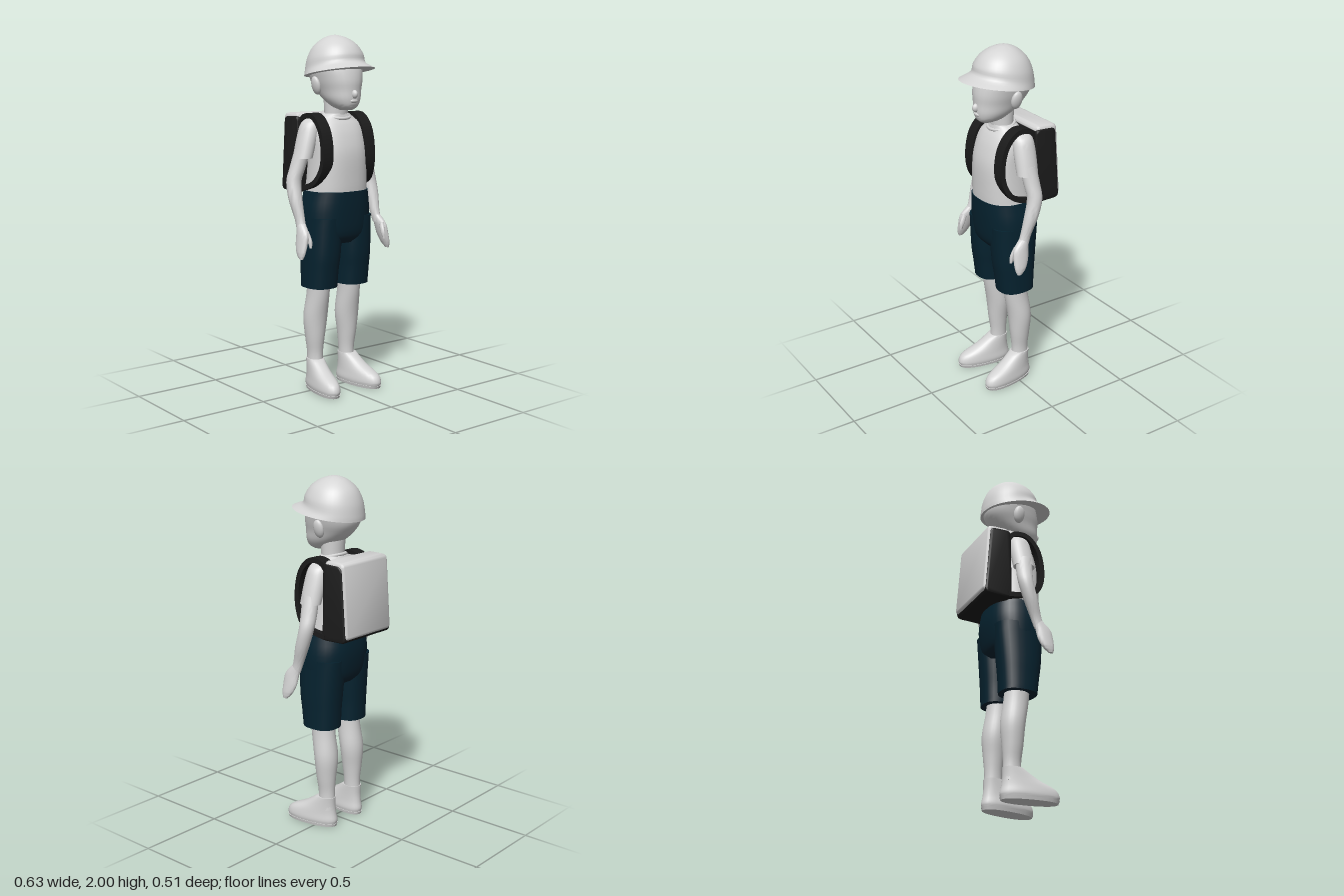
import * as THREE from 'three';
import { toCreasedNormals } from 'three/addons/utils/BufferGeometryUtils.js';

const light = new THREE.MeshStandardMaterial({ color: 0xd4d4d4 });
light.name = 'light grey';
const navy = new THREE.MeshStandardMaterial({ color: 0x05222f });
navy.name = 'dark navy';
const black = new THREE.MeshStandardMaterial({ color: 0x1b1b1b });
black.name = 'soft black';

// Skin a stack of equal rings of points and close both ends
function skin(rings, crease = 0.9) {
  const n = rings[0].length, pos = [], idx = [];
  rings.forEach(r => r.forEach(p => pos.push(p.x, p.y, p.z)));
  for (let i = 0; i < rings.length - 1; i++) {
    for (let j = 0; j < n; j++) {
      const k = (j + 1) % n, a = i * n + j, b = i * n + k;
      idx.push(a, a + n, b, b, a + n, b + n);
    }
  }
  [0, rings.length - 1].forEach((i, end) => {
    const c = pos.length / 3, mid = new THREE.Vector3();
    rings[i].forEach(p => mid.addScaledVector(p, 1 / n));
    pos.push(mid.x, mid.y, mid.z);
    for (let j = 0; j < n; j++) {
      const a = i * n + j, b = i * n + (j + 1) % n;
      end ? idx.push(c, b, a) : idx.push(c, a, b);
    }
  });
  const g = new THREE.BufferGeometry();
  g.setAttribute('position', new THREE.Float32BufferAttribute(pos, 3));
  g.setIndex(idx);
  return toCreasedNormals(g, crease);
}

// Smooth loft through sections [y, x, z, radiusX, radiusZ, frontLift]
function loft(sections, { side = 1, power = 2, seg = 28 } = {}) {
  const list = [...sections].sort((a, b) => a[0] - b[0]);
  const curve = f => new THREE.CatmullRomCurve3(list.map(f), false, 'catmullrom', 0.5);
  const mids = curve(s => new THREE.Vector3(s[1] * side, s[0], s[2]));
  const radii = curve(s => new THREE.Vector3(s[3], s[4], s[5] || 0));
  const steps = (list.length - 1) * 4, rings = [];
  const round = v => Math.sign(v) * Math.abs(v) ** (2 / power);
  for (let i = 0; i <= steps; i++) {
    const m = mids.getPoint(i / steps), r = radii.getPoint(i / steps), ring = [];
    for (let j = 0; j < seg; j++) {
      const a = j / seg * Math.PI * 2, c = round(Math.cos(a)), s = round(Math.sin(a));
      ring.push(new THREE.Vector3(m.x + r.x * c, m.y + r.z * s, m.z + r.y * s));
    }
    rings.push(ring);
  }
  return skin(rings);
}

// Flat band swept along a path of [x, y, z]
function band(points, side, halfWidth, halfThick) {
  const curve = new THREE.CatmullRomCurve3(points.map(p => new THREE.Vector3(p[0] * side, p[1], p[2])));
  const rings = [];
  for (let i = 0; i <= 36; i++) {
    const p = curve.getPoint(i / 36), t = curve.getTangent(i / 36);
    const n = new THREE.Vector3(0, -t.z, t.y).normalize();
    rings.push([[1, -1], [1, 1], [-1, 1], [-1, -1]].map(([w, h]) =>
      p.clone().addScaledVector(n, h * halfThick).add(new THREE.Vector3(w * halfWidth, 0, 0))));
  }
  return skin(rings, 0.7);
}

// Side profile of [distance behind, y], extruded across x with soft edges
function slab(points, halfWidth, bevel) {
  const shape = new THREE.Shape();
  const n = points.length, r = 0.03;
  points.forEach((p, i) => {
    const P = new THREE.Vector2(...p);
    const toward = q => P.clone().add(new THREE.Vector2(...q).sub(P).setLength(r));
    const a = toward(points[(i + n - 1) % n]), b = toward(points[(i + 1) % n]);
    i ? shape.lineTo(a.x, a.y) : shape.moveTo(a.x, a.y);
    shape.quadraticCurveTo(P.x, P.y, b.x, b.y);
  });
  const depth = 2 * (halfWidth - bevel);
  const g = new THREE.ExtrudeGeometry(shape, {
    depth, bevelEnabled: true, bevelSize: bevel, bevelOffset: -bevel,
    bevelThickness: bevel, bevelSegments: 4, curveSegments: 6 });
  g.translate(0, 0, -depth / 2).rotateY(Math.PI / 2);
  return toCreasedNormals(g, 0.7);
}

export function createModel() {
  const model = new THREE.Group();
  model.name = 'child with backpack';
  const add = (name, geometry, material, parent = model) => {
    const m = new THREE.Mesh(geometry, material);
    m.name = name;
    parent.add(m);
    return m;
  };
  const ball = (name, x, y, z, rx, ry, rz) => {
    const m = add(name, new THREE.SphereGeometry(1, 16, 12), light);
    m.position.set(x, y, z);
    m.scale.set(rx, ry, rz);
    return m;
  };

  // Head
  add('neck', loft([[1.5, 0, 0, 0.075, 0.065], [1.56, 0, 0.01, 0.068, 0.062], [1.66, 0, 0.01, 0.07, 0.07]]), light);
  add('head', loft([
    [1.592, 0, 0.1, 0.03, 0.04], [1.612, 0, 0.085, 0.065, 0.08], [1.65, 0, 0.06, 0.092, 0.115],
    [1.7, 0, 0.03, 0.108, 0.145], [1.76, 0, 0.01, 0.128, 0.164], [1.84, 0, 0, 0.14, 0.152],
    [1.92, 0, 0, 0.1, 0.1]], { power: 2.15 }), light);
  ball('nose', 0, 1.68, 0.172, 0.017, 0.024, 0.024).rotation.x = -0.3;
  ball('lips', 0, 1.643, 0.166, 0.028, 0.012, 0.014);

  // Cap with a brim that is longest at the front
  add('cap', loft([
    [1.797, 0, 0.041, 0.186, 0.212, 0.033], [1.826, 0, 0.004, 0.166, 0.174, 0.032],
    [1.88, 0, 0.002, 0.154, 0.162, 0.02], [1.935, 0, 0, 0.124, 0.132, 0.01],
    [1.975, 0, 0, 0.078, 0.084, 0.003], [1.994, 0, 0, 0.035, 0.038], [2, 0, 0, 0.004, 0.004]],
    { seg: 40 }), light);

  // Shirt
  add('shirt', loft([
    [1.135, 0, 0.005, 0.178, 0.15], [1.2, 0, 0.015, 0.172, 0.142], [1.35, 0, 0.02, 0.165, 0.135],
    [1.45, 0, 0.005, 0.166, 0.125], [1.51, 0, 0, 0.152, 0.102], [1.545, 0, 0, 0.112, 0.078],
    [1.57, 0, 0.005, 0.076, 0.066]], { power: 2.4, seg: 36 }), light);
  const collar = add('collar', new THREE.TorusGeometry(0.074, 0.009, 8, 28), light);
  collar.position.set(0, 1.56, 0.012);
  collar.rotation.x = Math.PI / 2 + 0.22;

  // Shorts
  add('shortsSeat', loft([
    [0.85, 0, 0.002, 0.16, 0.1], [0.9, 0, 0.002, 0.195, 0.138], [1.03, 0, 0, 0.2, 0.155],
    [1.145, 0, 0.008, 0.181, 0.152]], { power: 2.4, seg: 36 }), navy);

  for (const side of [1, -1]) {
    const label = side > 0 ? 'left' : 'right';
    const part = (name, sections, material = light, power = 2) =>
      add(label + name, loft(sections, { side, power }), material);

    ball(label + 'Ear', 0.13 * side, 1.725, 0.0, 0.02, 0.052, 0.034).rotation.z = -0.25 * side;

    // Arm
    part('Sleeve', [[1.552, 0.125, -0.02, 0.03, 0.04], [1.52, 0.15, -0.02, 0.055, 0.058],
      [1.45, 0.178, -0.018, 0.054, 0.064], [1.33, 0.214, -0.014, 0.051, 0.062]]);
    part('Arm', [[1.38, 0.212, -0.015, 0.042, 0.048], [1.28, 0.24, -0.025, 0.043, 0.046],
      [1.2, 0.264, -0.028, 0.042, 0.042], [1.1, 0.27, -0.002, 0.037, 0.04],
      [1, 0.266, 0.03, 0.026, 0.032], [0.94, 0.27, 0.052, 0.023, 0.034]]);
    part('Hand', [[0.98, 0.267, 0.04, 0.022, 0.03], [0.93, 0.276, 0.068, 0.025, 0.046],
      [0.87, 0.288, 0.076, 0.023, 0.046], [0.82, 0.3, 0.086, 0.017, 0.034],
      [0.79, 0.306, 0.096, 0.008, 0.014]]);
    part('Thumb', [[0.94, 0.268, 0.09, 0.014, 0.018], [0.89, 0.26, 0.112, 0.012, 0.016],
      [0.85, 0.26, 0.122, 0.006, 0.008]]);

    // Leg
    part('ShortsLeg', [[0.6, 0.11, -0.004, 0.09, 0.105], [0.7, 0.109, 0, 0.092, 0.114],
      [0.8, 0.106, 0.003, 0.096, 0.125], [1, 0.1, 0, 0.099, 0.14]], navy, 2.5);
    part('Leg', [[0.66, 0.108, -0.004, 0.064, 0.07], [0.55, 0.11, -0.015, 0.063, 0.07],
      [0.42, 0.113, -0.036, 0.069, 0.068], [0.3, 0.115, -0.038, 0.055, 0.058],
      [0.2, 0.113, -0.04, 0.043, 0.049], [0.1, 0.115, -0.04, 0.045, 0.055]]);
    const shoe = part('Shoe', [[0.008, 0, 0.085, 0.056, 0.156], [0.035, 0, 0.086, 0.062, 0.164],
      [0.075, 0, 0.078, 0.058, 0.148], [0.12, 0, 0.034, 0.052, 0.098],
      [0.175, 0, -0.008, 0.047, 0.055]], light, 2.3);
    shoe.position.set(0.117 * side, 0, -0.03);
    shoe.rotation.y = 0.15 * side;
    const sole = part('Sole', [[0, 0, 0.085, 0.058, 0.158], [0.016, 0, 0.086, 0.062, 0.164]], light, 2.3);
    sole.position.copy(shoe.position);
    sole.rotation.copy(shoe.rotation);

    // Shoulder strap
    add(label + 'Strap', band([[0.145, 1.5, -0.1], [0.147, 1.55, -0.06], [0.147, 1.558, 0.02],
      [0.147, 1.5, 0.085], [0.146, 1.4, 0.117], [0.15, 1.28, 0.112], [0.163, 1.2, 0.065],
      [0.166, 1.165, -0.02], [0.166, 1.15, -0.1]], side, 0.034, 0.014), black);
  }

  // Backpack: dark body with a pale flap over the top and back
  const pack = new THREE.Group();
  pack.name = 'backpack';
  model.add(pack);
  add('packBody', slab([[0.078, 1.13], [0.085, 1.558], [0.212, 1.552], [0.243, 1.135]], 0.197, 0.012), black, pack);
  add('packFlap', slab([[0.12, 1.16], [0.088, 1.574], [0.226, 1.57], [0.256, 1.15]], 0.19, 0.02), light, pack);

  return model;
}
